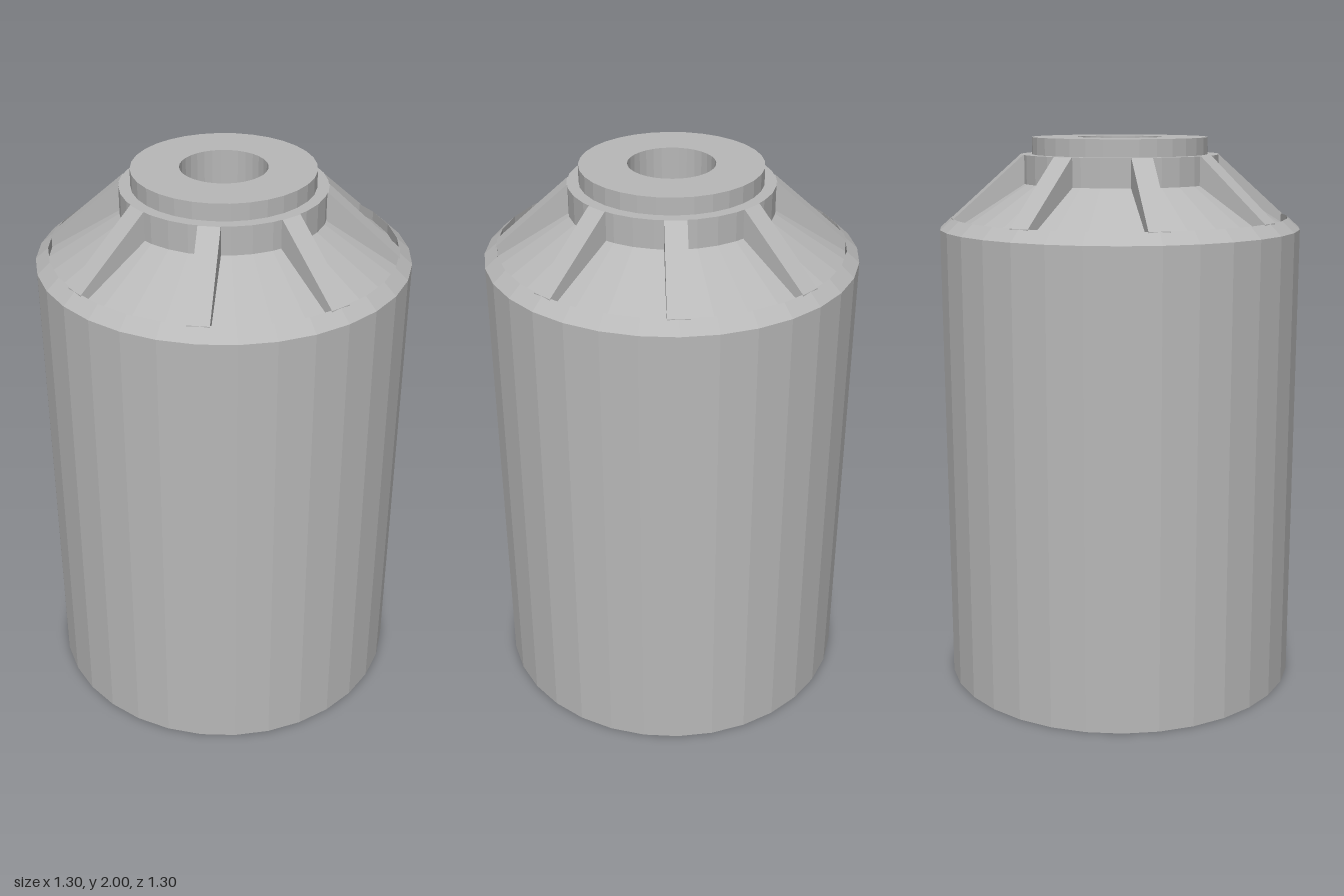
import * as THREE from 'three';

const SIDES = 32;

// Revolved part with crisp facets; profile is [radius, height] pairs
function turned(name, profile, material) {
  const pts = profile.map(([r, y]) => new THREE.Vector2(r, y));
  const geo = new THREE.LatheGeometry(pts, SIDES).toNonIndexed();
  geo.computeVertexNormals();
  const mesh = new THREE.Mesh(geo, material);
  mesh.name = name;
  return mesh;
}

export function createModel() {
  const model = new THREE.Group();
  model.name = 'plugNozzle';
  const metal = new THREE.MeshStandardMaterial({ color: 0xb8b8b8 });
  metal.name = 'grey metal';

  model.add(
    // Tapered plug in the middle of the underside
    turned('centrePlug', [[0, 0], [0.195, 0], [0.27, 0.18]], metal),
    // Underside recess, flared outwards to the rim
    turned('nozzleRecess', [[0.27, 0.18], [0.45, 0.18], [0.58, 0]], metal),
    // Main drum with its bevelled upper lip
    turned('body', [[0.58, 0], [0.65, 0], [0.65, 1.68], [0.605, 1.72], [0.605, 1.685]], metal),
    // Sunken cone between the ribs
    turned('shoulder', [[0.605, 1.685], [0.355, 1.84]], metal),
    turned('collar', [[0.355, 1.84], [0.355, 1.94], [0.315, 1.94]], metal),
    // Top disc with a blind hole
    turned('topDisc', [[0.315, 1.94], [0.315, 2], [0.15, 2], [0.15, 1.7], [0, 1.7]], metal),
  );

  // Eight ribs carrying the bevel line up to the collar
  const side = new THREE.Shape([
    [0.606, 1.67], [0.606, 1.72], [0.355, 1.94], [0.33, 1.94], [0.33, 1.82],
  ].map(([r, y]) => new THREE.Vector2(r, y)));
  const ribGeo = new THREE.ExtrudeGeometry(side, { depth: 0.074, bevelEnabled: false });
  ribGeo.translate(0, 0, -0.037);
  const ribs = new THREE.Group();
  ribs.name = 'ribs';
  for (let i = 0; i < 8; i++) {
    const rib = new THREE.Mesh(ribGeo, metal);
    rib.name = 'rib';
    rib.rotation.y = (i * Math.PI) / 4;
    ribs.add(rib);
  }
  model.add(ribs);
  return model;
}
